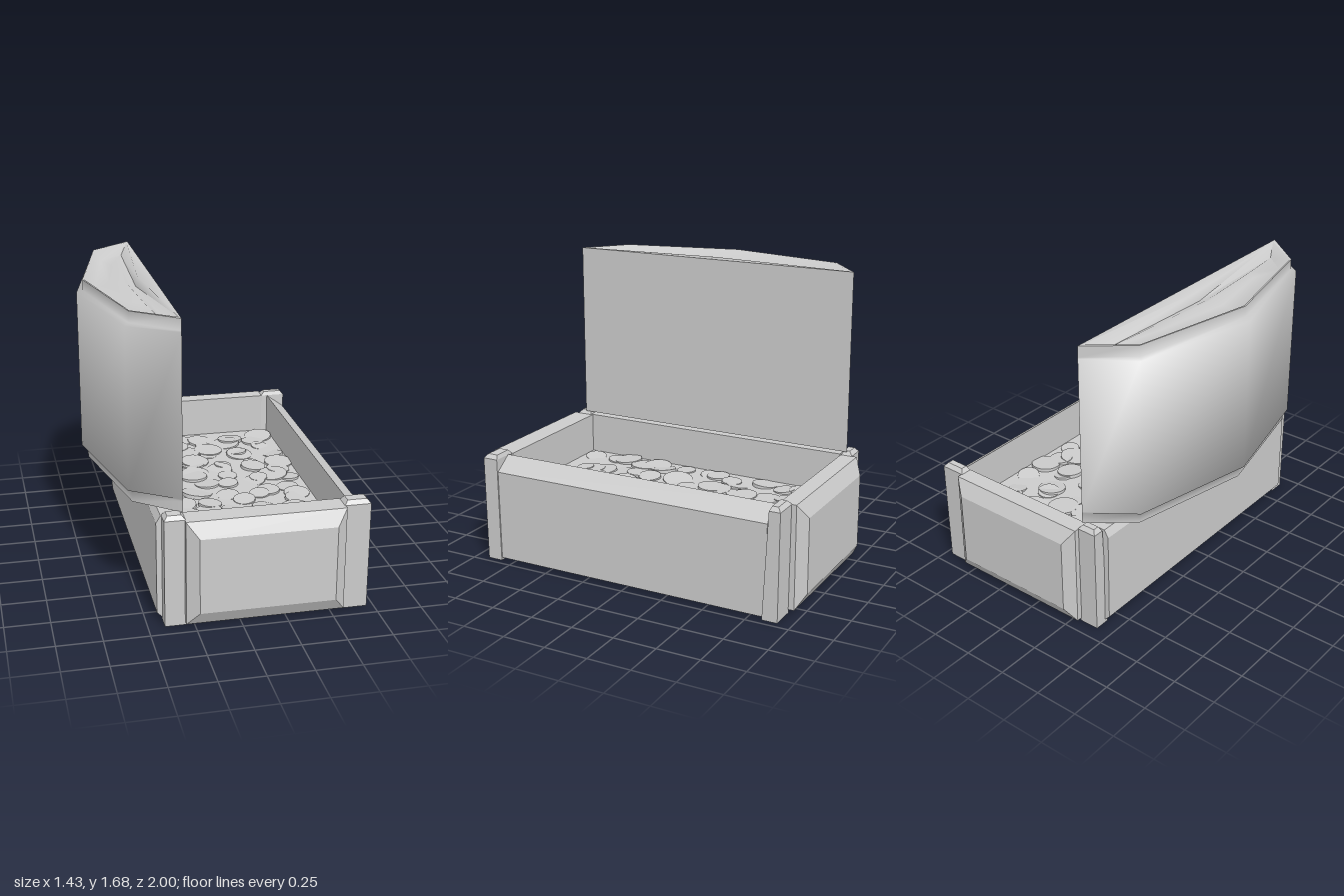
import * as THREE from 'three';
import { toCreasedNormals } from 'three/addons/utils/BufferGeometryUtils.js';

const material = new THREE.MeshStandardMaterial({ color: 0xcccccc });

function addMesh(parent, name, geometry) {
  const mesh = new THREE.Mesh(geometry, material);
  mesh.name = name;
  parent.add(mesh);
  return mesh;
}

// Skin matching loops of corners and close both ends with fans.
// Loops run counter-clockwise as seen from the last one.
function loft(loops, crease = 0.3) {
  const out = [];
  const tri = (...corners) => corners.forEach((c) => out.push(...c));
  const n = loops[0].length;
  const centre = (loop) => [0, 1, 2].map((k) => loop.reduce((sum, p) => sum + p[k], 0) / n);
  const first = loops[0], last = loops[loops.length - 1];
  const start = centre(first), end = centre(last);
  for (let i = 0; i < n; i++) {
    const j = (i + 1) % n;
    for (let s = 0; s + 1 < loops.length; s++) {
      const a = loops[s], b = loops[s + 1];
      tri(a[i], a[j], b[j]);
      tri(a[i], b[j], b[i]);
    }
    tri(start, first[j], first[i]);
    tri(end, last[i], last[j]);
  }
  const geometry = new THREE.BufferGeometry();
  geometry.setAttribute('position', new THREE.Float32BufferAttribute(out, 3));
  return toCreasedNormals(geometry, crease);
}

// Horizontal loop at height y from [x, z] pairs
const level = (y, pairs) => pairs.map(([x, z]) => [x, y, z]);
// Upright rectangle at depth z
const upright = (z, x0, x1, y0, y1) => [[x0, y0, z], [x1, y0, z], [x1, y1, z], [x0, y1, z]];

function makeTrough() {
  // Sloping front rim, raised floor, and a thicker back wall with bevelled edges
  const shape = new THREE.Shape([
    [-0.405, 0.015], [0.705, 0.015], [0.705, 0.54], [0.6, 0.617],
    [0.6, 0.378], [-0.3, 0.378], [-0.3, 0.617], [-0.415, 0.617],
    [-0.44, 0.575], [-0.44, 0.05],
  ].map(([x, y]) => new THREE.Vector2(x, y)));
  const geometry = new THREE.ExtrudeGeometry(shape, { depth: 1.7, bevelEnabled: false });
  return geometry.translate(0, 0, -0.85);
}

// End panel whose inner face lies at depth z
function makeEndPanel(z) {
  return loft([
    upright(z, -0.3, 0.57, 0.02, 0.615),
    upright(0.953, -0.3, 0.57, 0.02, 0.615),
    upright(1, -0.235, 0.51, 0.1, 0.53),
  ]);
}

// Corner post between x0 and x1, its inner side leaning outward with height
function makePost(x0, x1, side, lean) {
  const ring = (y, inset, inner, outer) => {
    const [a, b] = [x0 + inset, x1 - inset];
    const pairs = [[a, outer * side], [b, outer * side], [b, inner * side], [a, inner * side]];
    return level(y, side > 0 ? pairs : pairs.reverse());
  };
  return loft([
    ring(0, 0, 0.83, 0.92),
    ring(0.615, 0, 0.82 + lean, 0.925),
    ring(0.638, 0.02, 0.83 + lean, 0.905),
  ]);
}

function makeLid() {
  // Arched body, set-in ends, and a domed hollow in each end behind a lens-shaped edge
  const full = [[-0.3, 0.872], [-0.3, 0], [-0.3, -0.893], [-0.56, -0.72], [-0.72, 0], [-0.56, 0.7]];
  const inset = [[-0.3, 0.872], [-0.3, 0], [-0.3, -0.893], [-0.535, -0.7], [-0.685, 0], [-0.535, 0.68]];
  const lip = [[-0.31, 0.84], [-0.38, 0], [-0.31, -0.86], [-0.53, -0.69], [-0.675, 0], [-0.53, 0.67]];
  const hollow = [[-0.36, 0.74], [-0.39, 0], [-0.36, -0.76], [-0.5, -0.64], [-0.62, 0], [-0.5, 0.62]];
  const dome = [[-0.41, 0.45], [-0.44, 0], [-0.41, -0.47], [-0.47, -0.43], [-0.54, 0], [-0.47, 0.41]];
  return loft([
    level(0.67, dome), level(0.69, hollow), level(0.635, lip), level(0.635, inset),
    level(0.698, inset), level(0.708, full), level(1.608, full), level(1.618, inset),
    level(1.68, inset), level(1.68, lip), level(1.625, hollow), level(1.645, dome),
  ], 1.4);
}

function makeCoins() {
  const coins = new THREE.Group();
  coins.name = 'coins';
  let seed = 7;
  const random = () => (seed = (seed * 16807) % 2147483647) / 2147483647;
  for (let i = 0; i < 75; i++) {
    const radius = 0.05 + 0.04 * random();
    const coin = addMesh(coins, 'coin', new THREE.CylinderGeometry(radius, radius, 0.02, 24));
    // Spread over a jittered 5 by 15 grid, half sunk into the floor
    const column = i % 5, row = Math.floor(i / 5);
    coin.position.set(
      -0.19 + column * 0.17 + (random() - 0.5) * 0.1,
      0.372 + random() * 0.01,
      -0.74 + row * 0.105 + (random() - 0.5) * 0.1,
    );
    coin.rotation.set((random() - 0.5) * 0.25, 0, (random() - 0.5) * 0.25);
  }
  return coins;
}

export function createModel() {
  const chest = new THREE.Group();
  chest.name = 'chest';
  addMesh(chest, 'trough', makeTrough());

  addMesh(chest, 'frontEndPanel', makeEndPanel(0.825));
  const opposite = addMesh(chest, 'backEndPanel', makeEndPanel(0.858));
  opposite.rotation.y = Math.PI;
  opposite.position.x = 0.27;

  for (const side of [-1, 1]) {
    addMesh(chest, 'leftPost', makePost(0.565, 0.712, side, side < 0 ? 0.04 : 0.015));
    addMesh(chest, 'rightPost', makePost(-0.41, -0.295, side, side < 0 ? 0.04 : 0.015));
  }
  addMesh(chest, 'lid', makeLid());
  chest.add(makeCoins());
  return chest;
}
